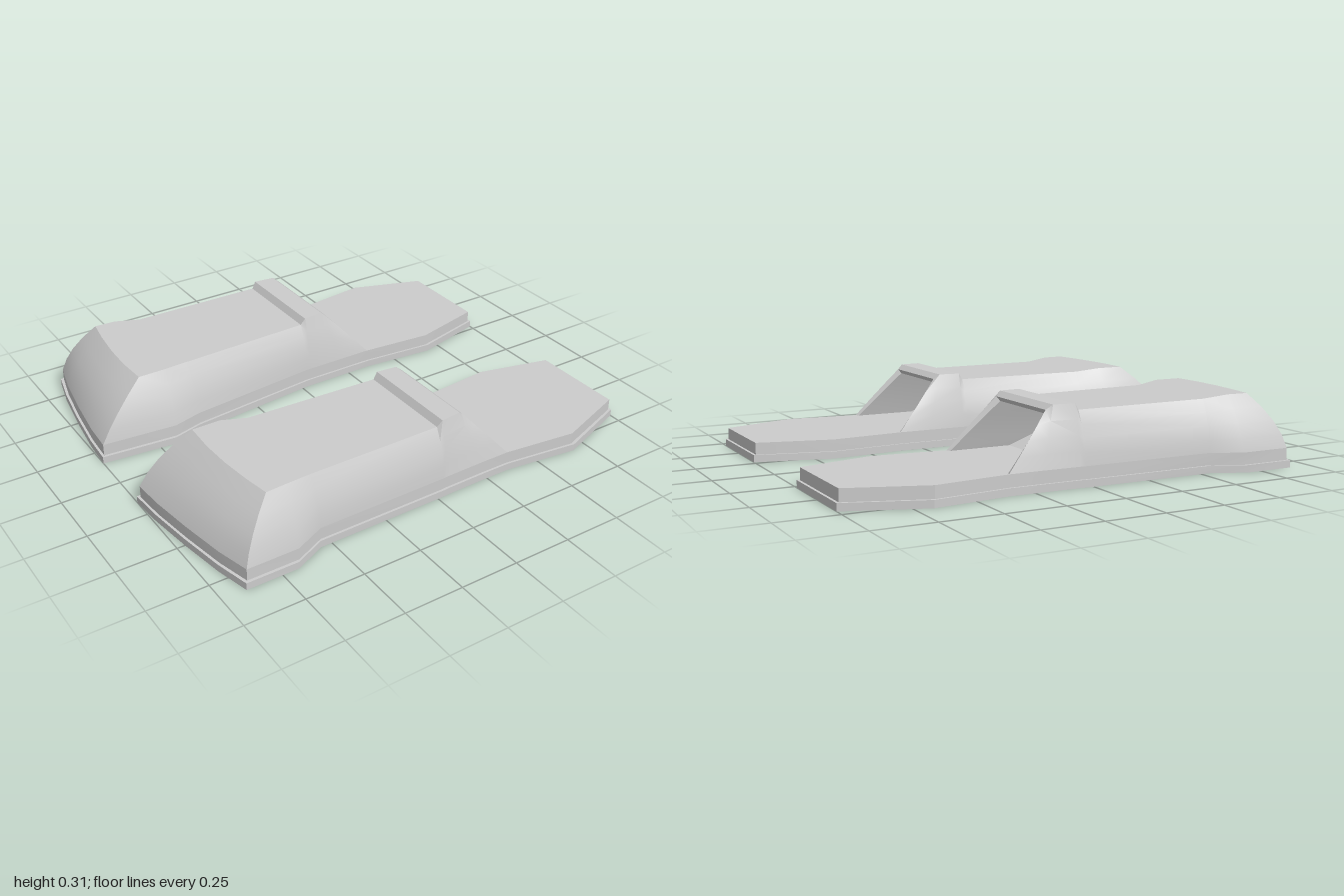
import * as THREE from 'three';
import { toCreasedNormals } from 'three/addons/utils/BufferGeometryUtils.js';

const material = new THREE.MeshStandardMaterial({ color: 0xcccccc, side: THREE.DoubleSide });
const MID_Z = 0.49;

// Each entry: base x, base z, top x, top y, top z
const innerSide = [
  [0.36, 0.225, 0.165, 0.295, 0.3], [0.22, 0.225, 0.14, 0.315, 0.287],
  [0.05, 0.225, 0.05, 0.315, 0.278], [0.03, 0.225, 0.03, 0.288, 0.283],
  [-0.55, 0.165, -0.55, 0.29, 0.26], [-0.68, 0.13, -0.66, 0.303, 0.235],
  [-1, 0.16, -0.78, 0.303, 0.235],
];
const heel = [
  [-0.992, 0.3, -0.787, 0.303, 0.37], [-0.967, 0.5, -0.782, 0.303, 0.5],
  [-0.935, 0.7, -0.768, 0.303, 0.63],
];
const outerSide = [
  [-0.9, 0.845, -0.75, 0.303, 0.74], [-0.68, 0.845, -0.66, 0.303, 0.735],
  [-0.55, 0.785, -0.55, 0.29, 0.715], [0.03, 0.78, 0.03, 0.288, 0.712],
  [0.05, 0.778, 0.05, 0.315, 0.72], [0.22, 0.775, 0.14, 0.315, 0.71],
  [0.36, 0.775, 0.165, 0.295, 0.697],
];
const toe = [[0.68, 0.815], [1, 0.7], [1, 0.275], [0.68, 0.195]];
const path = [...innerSide, ...heel, ...outerSide];
const outline = [...path.map(([x, z]) => [x, z]), ...toe];

const inset = ([x, z]) => [x * 0.989, MID_Z + (z - MID_Z) * 0.965];

// Flat slab cut from a plan outline between two heights
function slab(points, y0, y1) {
  const shape = new THREE.Shape(points.map(([x, z]) => new THREE.Vector2(x, z)));
  return new THREE.ExtrudeGeometry(shape, { depth: y1 - y0, bevelEnabled: false })
    .rotateX(Math.PI / 2).translate(0, y1, 0);
}

// Surface through successive rows of points
function loft(rows) {
  const out = [];
  for (let j = 0; j + 1 < rows.length; j++) {
    for (let i = 0; i + 1 < rows[j].length; i++) {
      const [a, b, c, d] = [rows[j][i], rows[j][i + 1], rows[j + 1][i + 1], rows[j + 1][i]];
      out.push(...a, ...b, ...c, ...a, ...c, ...d);
    }
  }
  const geo = new THREE.BufferGeometry();
  geo.setAttribute('position', new THREE.Float32BufferAttribute(out, 3));
  return geo;
}

// Mirror across z = 0 and keep the faces turned outward
function mirrorZ(geo) {
  const p = geo.attributes.position;
  for (let i = 0; i < p.count; i += 3) {
    const t = [0, 1, 2].map((k) => [p.getX(i + k), p.getY(i + k), -p.getZ(i + k)]);
    [t[0], t[2], t[1]].forEach((v, k) => p.setXYZ(i + k, ...v));
  }
  return geo;
}

// One row around the upper, t = 0 at the slab and 1 at the top, bulging between
function level(t) {
  return path.map(([bx, bz, tx, ty, tz], i) => {
    const [x, z] = inset([bx, bz]);
    const bulge = 0.055 * t * (1 - t) * (i < 3 || i > path.length - 4 ? 0.3 : 1);
    const side = Math.abs(z - MID_Z) > 0.15 ? Math.sign(z - MID_Z) : 0;
    const back = i > 5 && i < 11 ? 1 : 0;
    return [x + (tx - x) * t - bulge * 1.6 * back, 0.08 + (ty - 0.08) * t,
      z + (tz - z) * t + bulge * side];
  });
}

function podParts() {
  const steps = [0, 0.25, 0.5, 0.75, 1].map(level);
  const top = steps[steps.length - 1];
  const half = (top.length + 1) / 2;

  // Front arch of the opening, then its inset lip and the back of the cavity
  const arch = [...steps.map((r) => r[0]), ...steps.map((r) => r[r.length - 1]).reverse()];
  const lip = arch.map(([x, y, z]) => {
    const h = (y - 0.08) / 0.215;
    return [x - 0.008, y - 0.017 * h, z + Math.sign(MID_Z - z) * 0.02];
  });
  const back = lip.map(([, y, z]) => {
    const h = (y - 0.08) / 0.198;
    return [0.08 - 0.38 * h, 0.08 + 0.16 * h, z];
  });
  const n = back.length / 2;

  return {
    sole: slab(outline, 0, 0.03),
    footbed: slab(outline.map(inset), 0.03, 0.08),
    upperWall: loft(steps),
    upperTop: loft([top.slice(0, half), top.slice(half - 1).reverse()]),
    openingRim: loft([arch, lip]),
    cavityWall: loft([lip, back]),
    cavityBack: loft([back.slice(0, n), back.slice(n).reverse()]),
  };
}

export function createModel() {
  const model = new THREE.Group();
  model.name = 'pairOfSlippers';
  for (const side of ['front', 'back']) {
    const pod = new THREE.Group();
    pod.name = side + 'Slipper';
    for (const [name, source] of Object.entries(podParts())) {
      const geo = side === 'back' ? mirrorZ(source) : source;
      const mesh = new THREE.Mesh(toCreasedNormals(geo, 0.45), material);
      mesh.name = name;
      pod.add(mesh);
    }
    model.add(pod);
  }
  return model;
}
